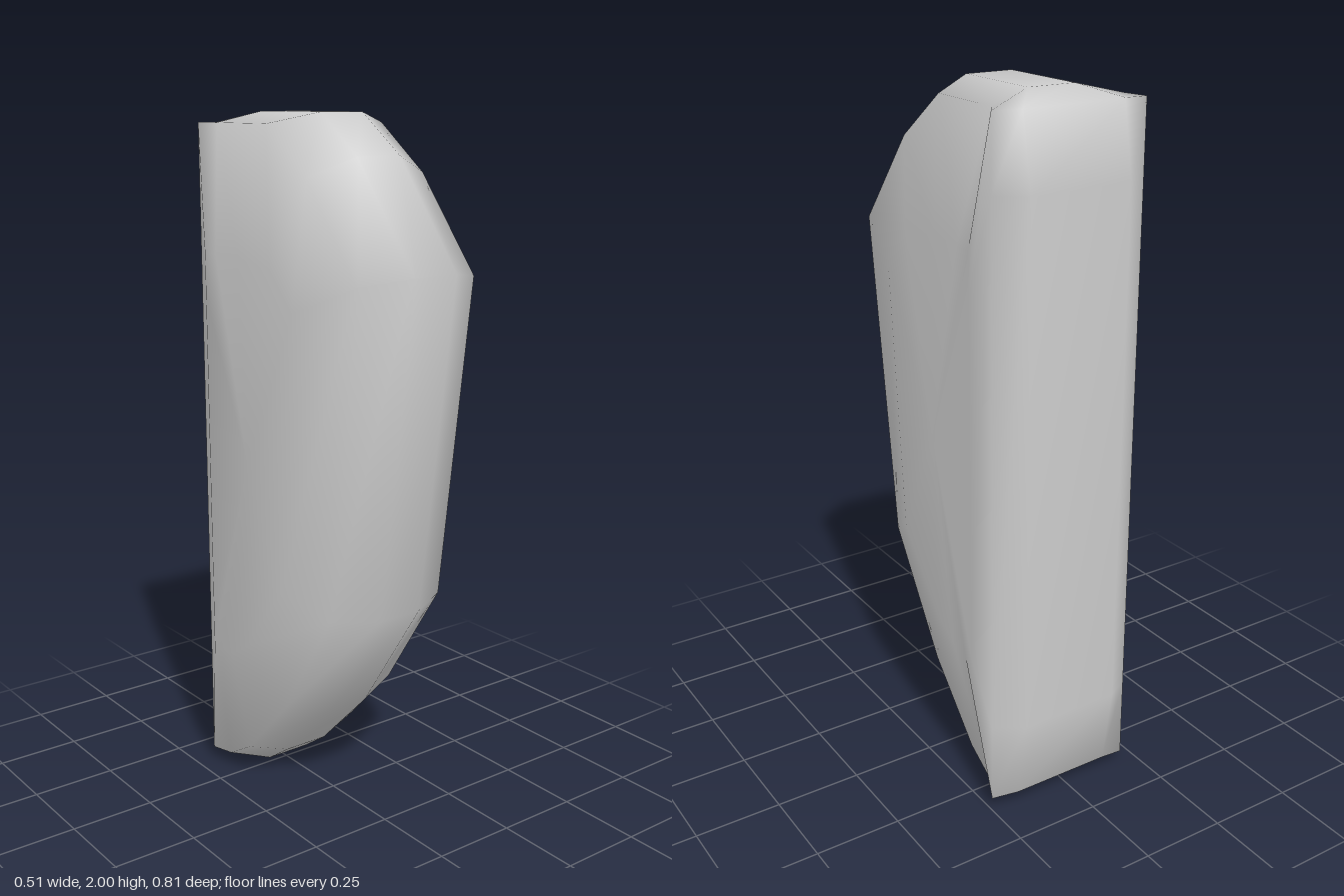
import * as THREE from 'three';

// Side profiles as [z, y], running from the top over the back, underside and front.
const crown = [[0.01, 2], [-0.27, 2], [-0.37, 1.97], [-0.405, 1.77], [-0.405, 0.28], [-0.37, 0.04],
  [-0.27, 0], [-0.17, 0.07], [0.04, 0.28], [0.28, 0.64], [0.405, 1.6], [0.17, 1.89]];
const shoulder = [[-0.06, 1.97], [-0.3, 1.97], [-0.365, 1.97], [-0.365, 1.77], [-0.365, 0.28], [-0.365, 0.04],
  [-0.3, 0.045], [-0.19, 0.11], [0, 0.31], [0.22, 0.65], [0.335, 1.58], [0.12, 1.84]];
const wall = [[-0.09, 1.62], [-0.2, 1.62], [-0.255, 1.62], [-0.255, 1.5], [-0.255, 0.55], [-0.255, 0.45],
  [-0.22, 0.45], [-0.16, 0.45], [-0.08, 0.5], [0.1, 0.72], [0.16, 1.5], [0.06, 1.6]];

// Each ring: profile, x of its front points, x of its back edge points, z shift of the back edge.
const rings = [
  [wall, -0.255, -0.255, 0],
  [shoulder, -0.178, -0.193, -0.01],
  [crown, -0.05, -0.13, 0],
  [crown, 0.09, 0.17, 0],
  [shoulder, 0.215, 0.25, 0.01],
  [wall, 0.253, 0.253, 0],
];

function shellGeometry() {
  const pos = [], index = [], n = crown.length;
  for (const [profile, xFront, xBack, dz] of rings) {
    profile.forEach(([z, y], k) => {
      const back = k >= 2 && k <= 5;
      pos.push(back ? xBack : xFront, y, z + (back ? dz : 0));
    });
  }
  // Skin between neighbouring rings
  for (let i = 0; i < rings.length - 1; i++) {
    for (let k = 0; k < n; k++) {
      const a = i * n + k, d = i * n + (k + 1) % n;
      index.push(a, a + n, d + n, a, d + n, d);
    }
  }
  // Flat side faces
  const last = (rings.length - 1) * n, centre = rings.length * n;
  pos.push(-0.255, 1.05, -0.06, 0.253, 1.05, -0.06);
  for (let k = 0; k < n; k++) {
    const next = (k + 1) % n;
    index.push(centre, k, next, centre + 1, last + next, last + k);
  }
  const geometry = new THREE.BufferGeometry();
  geometry.setAttribute('position', new THREE.Float32BufferAttribute(pos, 3));
  geometry.setIndex(index);
  geometry.computeVertexNormals();
  return geometry;
}

export function createModel() {
  const group = new THREE.Group();
  group.name = 'roundedBlock';
  const shell = new THREE.Mesh(shellGeometry(), new THREE.MeshStandardMaterial({ color: 0xcccccc }));
  shell.name = 'shell';
  group.add(shell);
  return group;
}
